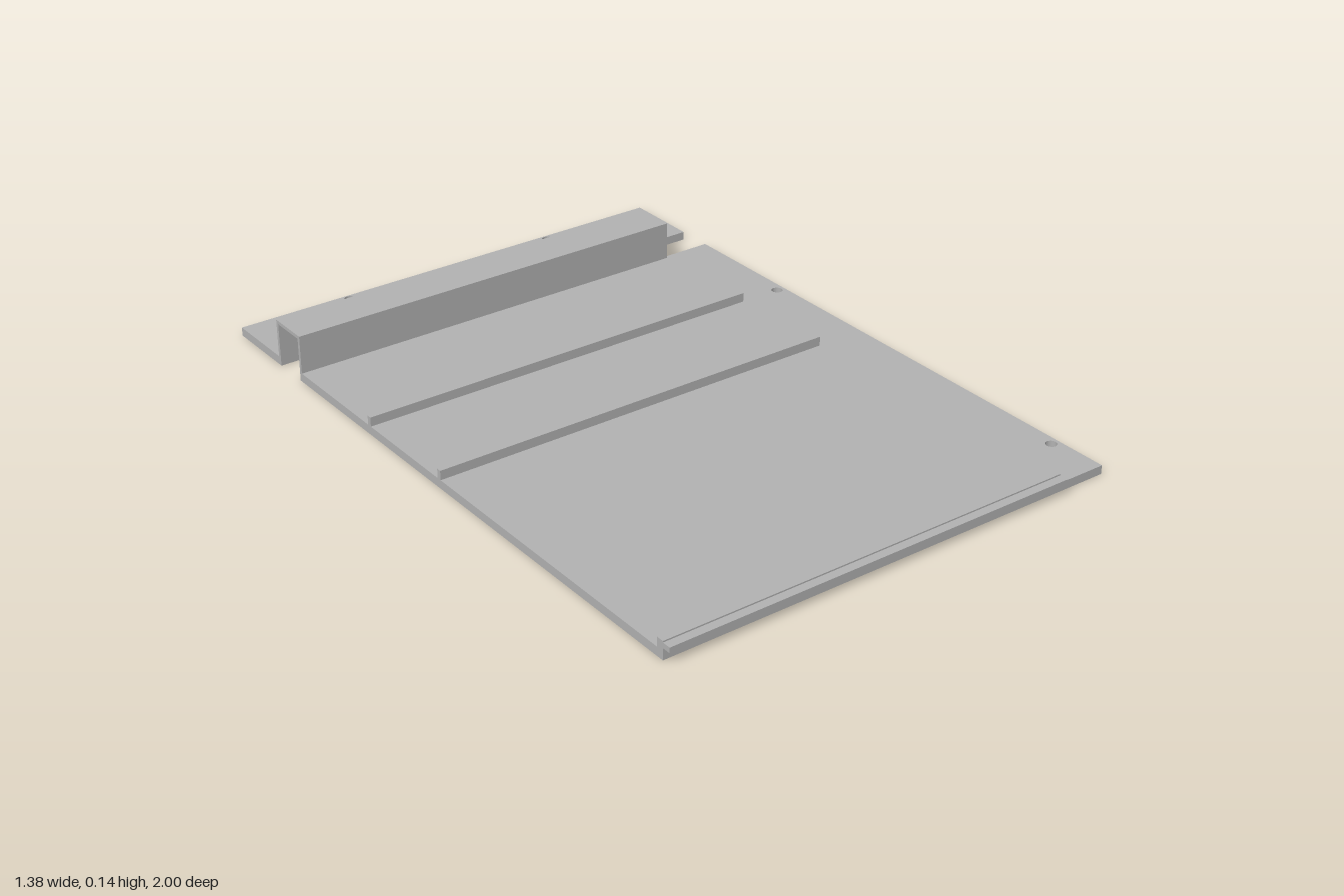
import * as THREE from 'three';

export function createModel() {
  const group = new THREE.Group();
  const grey = new THREE.MeshStandardMaterial({ color: 0xb2b2b2 });
  grey.name = 'grey';

  const LEFT = 0.69, RIGHT = -0.692, RAIL_END = 0.54, THICK = 0.025;

  const add = (name, geometry) => {
    const mesh = new THREE.Mesh(geometry, grey);
    mesh.name = name;
    group.add(mesh);
  };

  // Flat plate spanning z0..z1 with round through holes given as [x, z]
  function plate(name, z0, z1, holes) {
    const shape = new THREE.Shape([
      [RIGHT, -z1], [LEFT, -z1], [LEFT, -z0], [RIGHT, -z0],
    ].map(([x, y]) => new THREE.Vector2(x, y)));
    for (const [x, z] of holes) {
      shape.holes.push(new THREE.Path().absarc(x, -z, 0.016, 0, Math.PI * 2, true));
    }
    const geometry = new THREE.ExtrudeGeometry(shape, { depth: THICK, bevelEnabled: false, curveSegments: 24 });
    add(name, geometry.rotateX(-Math.PI / 2));
  }

  // Bar along x with a [z, y] cross-section, ending short of the plate's left edge
  function bar(name, profile) {
    const shape = new THREE.Shape(profile.map(([z, y]) => new THREE.Vector2(-z, y)));
    const geometry = new THREE.ExtrudeGeometry(shape, { depth: RAIL_END - RIGHT, bevelEnabled: false });
    add(name, geometry.rotateY(Math.PI / 2).translate(RIGHT, 0, 0));
  }

  // Base plates either side of the channel slot
  plate('mainPlate', -0.668, 0.975, [[0.665, -0.295], [0.665, 0.82]]);
  plate('backPlate', -1, -0.775, [[-0.355, -0.98], [0.33, -0.98]]);

  // Raised open-ended channel bridging the slot
  bar('channel', [
    [-0.785, THICK], [-0.785, 0.137], [-0.658, 0.137], [-0.658, THICK],
    [-0.668, THICK], [-0.668, 0.127], [-0.775, 0.127], [-0.775, THICK],
  ]);

  // Two slim ribs
  for (const [name, z] of [['backRib', -0.301], ['middleRib', 0.039]]) {
    bar(name, [
      [z - 0.007, THICK], [z - 0.007, 0.052], [z + 0.007, 0.052], [z + 0.007, THICK],
    ]);
  }

  // Front rail with an overhanging tongue
  bar('frontRail', [
    [0.953, THICK], [0.953, 0.052], [0.975, 0.052], [0.975, 0.048],
    [1, 0.048], [1, 0.033], [0.975, 0.033], [0.975, THICK],
  ]);

  return group;
}
